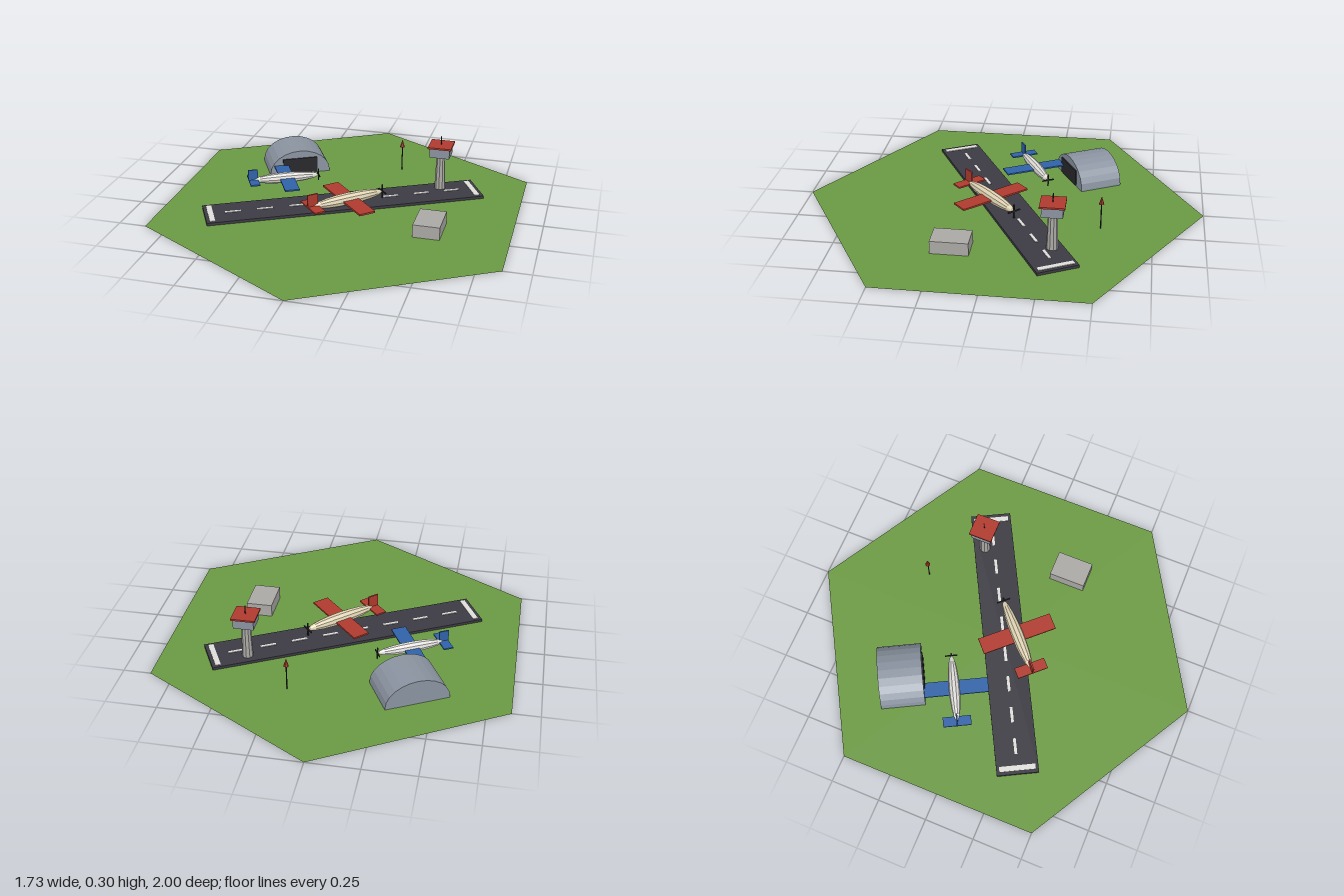
import * as THREE from 'three';

const mat = (name, color, extra = {}) => new THREE.MeshStandardMaterial({ name, color, ...extra });

// Splits shared vertices so every facet shades flat
function faceted(geometry) {
  const g = geometry.index ? geometry.toNonIndexed() : geometry;
  g.computeVertexNormals();
  return g;
}

function add(parent, name, geometry, material, x = 0, y = 0, z = 0) {
  const m = new THREE.Mesh(geometry, material);
  m.name = name;
  m.position.set(x, y, z);
  parent.add(m);
  return m;
}

function addGroup(parent, name, x, z, degrees = 0) {
  const g = new THREE.Group();
  g.name = name;
  g.position.set(x, 0, z);
  g.rotation.y = THREE.MathUtils.degToRad(degrees);
  parent.add(g);
  return g;
}

const box = (w, h, d) => new THREE.BoxGeometry(w, h, d);

export function createModel() {
  const grass = mat('grass green', 0x6a9a42, { side: THREE.DoubleSide });
  const asphalt = mat('asphalt', 0x3c3a42);
  const white = mat('off white', 0xe0deda);
  const cream = mat('cream', 0xe0d4b4);
  const red = mat('red', 0xb03a2e);
  const blue = mat('blue', 0x2f62a8);
  const steel = mat('blue grey steel', 0x8a93a0);
  const concrete = mat('concrete', 0xaaa8a4);
  const dark = mat('near black', 0x28282c);

  const model = new THREE.Group();
  model.name = 'airfield';

  // Hexagonal field with corners front and back
  const hex = new THREE.CircleGeometry(1, 6, Math.PI / 2);
  hex.rotateX(-Math.PI / 2);
  add(model, 'grassField', hex, grass);

  // Runway with end bars and centre dashes
  const runway = addGroup(model, 'runway', 0, 0, 28);
  add(runway, 'runwaySlab', box(1.415, 0.014, 0.209), asphalt, 0, 0.008, 0);
  for (const s of [-1, 1]) {
    add(runway, 'endBar', box(0.026, 0.003, 0.18), white, s * 0.677, 0.016, 0);
  }
  for (let i = 0; i < 8; i++) {
    add(runway, 'centreDash', box(0.08, 0.003, 0.014), white, (i - 3.5) * 0.162, 0.016, 0);
  }

  // Hangar: half-elliptical vault with a dark door
  const hangar = addGroup(model, 'hangar', -0.38, -0.405, 28);
  const arch = new THREE.Shape();
  arch.moveTo(0.161, 0);
  for (let i = 0; i <= 12; i++) {
    const a = (i / 12) * Math.PI;
    arch.lineTo(0.161 * Math.cos(a), 0.008 + 0.12 * Math.sin(a));
  }
  arch.lineTo(-0.161, 0);
  const vault = new THREE.ExtrudeGeometry(arch, { depth: 0.222, bevelEnabled: false });
  add(hangar, 'hangarVault', vault, steel, 0, 0, -0.111);
  add(hangar, 'hangarDoor', box(0.185, 0.084, 0.008), dark, 0, 0.046, 0.113);

  // Control tower
  const tower = addGroup(model, 'controlTower', 0.437, -0.286);
  const shaft = faceted(new THREE.CylinderGeometry(0.022, 0.029, 0.2, 10));
  add(tower, 'towerShaft', shaft, concrete, 0, 0.1, 0);
  add(tower, 'towerCab', box(0.102, 0.049, 0.102), steel, 0, 0.223, 0);
  add(tower, 'towerRoof', box(0.12, 0.009, 0.12), red, 0, 0.252, 0);
  add(tower, 'towerAntenna', new THREE.CylinderGeometry(0.0025, 0.0025, 0.048, 6), dark, 0, 0.278, 0);

  // Low building
  add(model, 'lowBuilding', box(0.132, 0.065, 0.185), concrete, 0.474, 0.0325, 0.186);

  // Wind marker: pole with a cone
  const marker = addGroup(model, 'windMarker', 0.19, -0.5);
  add(marker, 'markerPole', new THREE.CylinderGeometry(0.003, 0.003, 0.14, 6), dark, 0, 0.07, 0);
  add(marker, 'markerCone', faceted(new THREE.ConeGeometry(0.013, 0.042, 8)), red, 0, 0.153, 0);

  // Aeroplane pointing along local +x
  function plane(name, x, z, yaw, scale, bodyMat, wingMat) {
    const p = addGroup(model, name, x, z, yaw);
    p.scale.setScalar(scale);
    const y = 0.057;
    const profile = [];
    for (let i = 0; i <= 10; i++) {
      const a = (i / 10) * Math.PI;
      profile.push(new THREE.Vector2(0.032 * Math.sin(a), -0.195 * Math.cos(a)));
    }
    const body = faceted(new THREE.LatheGeometry(profile, 10));
    body.rotateZ(-Math.PI / 2);
    add(p, 'fuselage', body, bodyMat, 0, y, 0);
    add(p, 'wing', box(0.086, 0.009, 0.39), wingMat, 0.003, y, 0);
    add(p, 'tailplane', box(0.056, 0.008, 0.16), wingMat, -0.195, y, 0);
    add(p, 'tailFin', box(0.056, 0.066, 0.008), wingMat, -0.197, y + 0.034, 0);
    add(p, 'propellerUpright', box(0.006, 0.072, 0.007), dark, 0.197, y, 0);
    add(p, 'propellerCross', box(0.006, 0.007, 0.072), dark, 0.197, y, 0);
  }
  plane('redPlane', 0.035, 0.06, 43, 1, cream, red);
  plane('bluePlane', -0.349, -0.125, 28, 0.88, white, blue);

  return model;
}
